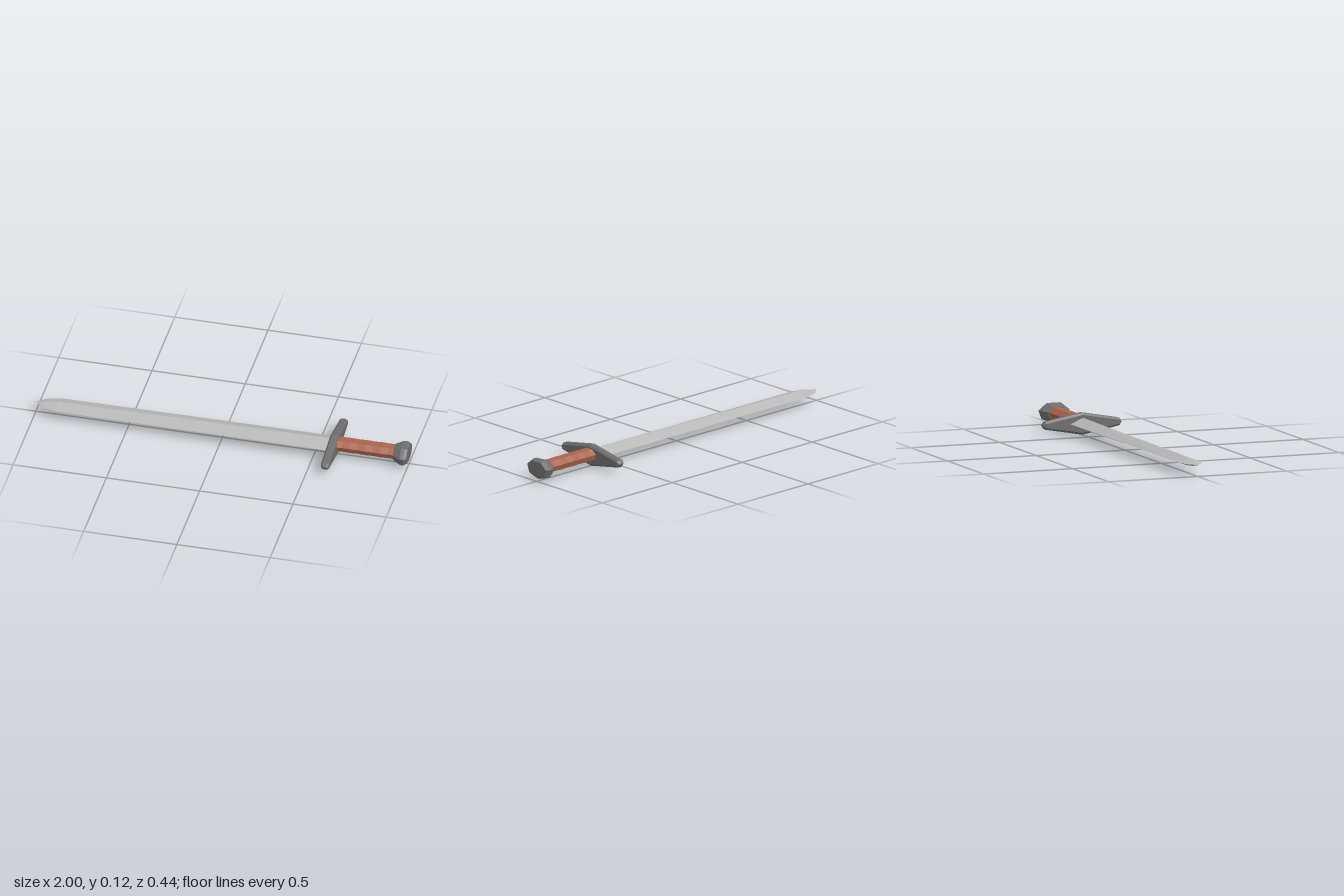
import * as THREE from 'three';

// Skin a list of matching rings (counter-clockwise seen from the far end) and cap both ends.
function loft(rings) {
  const out = [];
  const tri = (a, b, c) => out.push(...a, ...b, ...c);
  const n = rings[0].length;
  for (let i = 0; i < rings.length - 1; i++) {
    for (let j = 0; j < n; j++) {
      const k = (j + 1) % n;
      const a = rings[i], b = rings[i + 1];
      tri(a[j], a[k], b[k]);
      tri(a[j], b[k], b[j]);
    }
  }
  const first = rings[0], last = rings[rings.length - 1];
  for (let j = 1; j < n - 1; j++) {
    tri(first[0], first[j + 1], first[j]);
    tri(last[0], last[j], last[j + 1]);
  }
  const g = new THREE.BufferGeometry();
  g.setAttribute('position', new THREE.Float32BufferAttribute(out, 3));
  g.computeVertexNormals();
  return g;
}

// Flattened n-sided ring across the sword's length, first corner pointing down.
function ring(n, x, cy, ry, rz) {
  return Array.from({ length: n }, (_, j) => {
    const t = Math.PI + (j / n) * Math.PI * 2;
    return [x, cy + Math.cos(t) * ry, Math.sin(t) * rz];
  });
}

// Chamfered crossguard section at a given z.
function guardRing(z, hx, hy, chamferX, chamferY) {
  const cx = 0.6, cy = 0.058;
  return [
    [hx, -chamferY], [hx, chamferY], [chamferX, hy], [-chamferX, hy],
    [-hx, chamferY], [-hx, -chamferY], [-chamferX, -hy], [chamferX, -hy],
  ].map(([x, y]) => [cx + x, cy + y, z]);
}

export function createModel() {
  const group = new THREE.Group();
  const material = (name, color) => {
    const m = new THREE.MeshStandardMaterial({ color, flatShading: true });
    m.name = name;
    return m;
  };
  const steel = material('blade steel', 0xb8b8b8);
  const iron = material('dark iron', 0x6e6e6e);
  const leather = material('brown leather', 0xa9644c);

  const add = (name, rings, mat) => {
    const mesh = new THREE.Mesh(loft(rings), mat);
    mesh.name = name;
    group.add(mesh);
  };

  // Blade: diamond section tapering to a point
  add('blade', [
    [-1, 0.001, 0.001], [-0.95, 0.011, 0.042], [-0.88, 0.02, 0.062], [0.6, 0.031, 0.07],
  ].map(([x, ry, rz]) => ring(4, x, 0.06, ry, rz)), steel);

  // Crossguard: thick in the middle, narrowing to bevelled tips
  add('crossguard', [
    [-0.222, 0.012, 0.003, 0.008, 0.001],
    [-0.208, 0.022, 0.02, 0.012, 0.01],
    [0, 0.022, 0.058, 0.012, 0.047],
    [0.208, 0.022, 0.02, 0.012, 0.01],
    [0.222, 0.012, 0.003, 0.008, 0.001],
  ].map((s) => guardRing(...s)), iron);

  // Grip: seven-sided with gentle swells
  const gripRings = [];
  for (let i = 0; i <= 8; i++) {
    const swell = i % 2 ? 0.96 : 1;
    gripRings.push(ring(7, 0.61 + i * 0.041, 0.065, 0.035 * swell, 0.051 * swell));
  }
  add('grip', gripRings, leather);

  // Pommel: seven-sided cap, flared then bevelled
  add('pommel', [
    [0.925, 0.037, 0.055], [0.967, 0.0546, 0.086], [0.985, 0.0546, 0.086], [1, 0.0455, 0.071],
  ].map(([x, ry, rz]) => ring(7, x, 0.065, ry, rz)), iron);

  return group;
}
